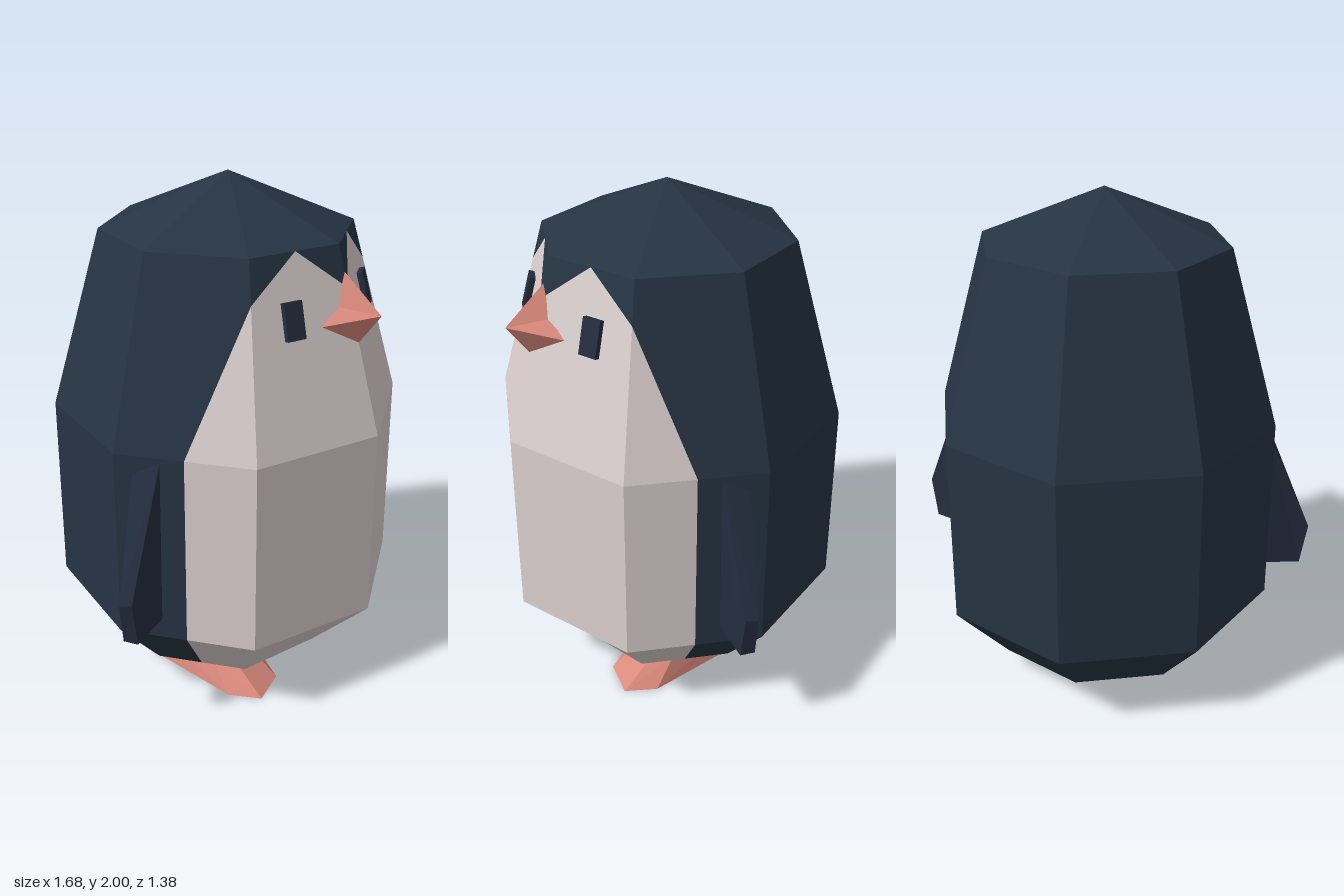
import * as THREE from 'three';

const mat = (name, color, flatShading = true) => {
  const m = new THREE.MeshStandardMaterial({ color });
  m.name = name;
  m.flatShading = flatShading;
  return m;
};
const V = (x, y, z) => new THREE.Vector3(x, y, z);

// Flat polygons as triangle fans, each turned to face away from the centre
function facets(name, polys, center, material) {
  const pos = [];
  for (const p of polys) {
    for (let i = 1; i < p.length - 1; i++) {
      let t = [p[0], p[i], p[i + 1]];
      const n = t[1].clone().sub(t[0]).cross(t[2].clone().sub(t[0]));
      const mid = t[0].clone().add(t[1]).add(t[2]).divideScalar(3).sub(center);
      if (n.dot(mid) < 0) t = [t[0], t[2], t[1]];
      t.forEach(v => pos.push(v.x, v.y, v.z));
    }
  }
  const g = new THREE.BufferGeometry();
  g.setAttribute('position', new THREE.Float32BufferAttribute(pos, 3));
  g.computeVertexNormals();
  const mesh = new THREE.Mesh(g, material);
  mesh.name = name;
  return mesh;
}

// Closed solid between two matching loops
function loft(name, a, b, material) {
  const c = V(0, 0, 0);
  [...a, ...b].forEach(v => c.add(v));
  c.divideScalar(a.length * 2);
  const polys = [a, b];
  a.forEach((v, i) => {
    const j = (i + 1) % a.length;
    polys.push([v, a[j], b[j], b[i]]);
  });
  return facets(name, polys, c, material);
}

export function createModel() {
  const group = new THREE.Group();
  const navy = mat('navy feathers', 0x263443);
  const cream = mat('cream belly', 0xdccfcf);
  const wingMat = mat('wing and eye blue', 0x242d3f);
  const coral = mat('coral', 0xdb8a7c);

  // Body: eight-sided rings, from the bottom up
  const rings = [[0.47, 0.1], [0.69, 0.355], [0.685, 1.11], [0.485, 1.8]];
  const corner = (i, k, s) => {
    const [r, y] = rings[i];
    const a = k * Math.PI / 4;
    const z = i === 0 && k === 0 ? 0.44 : r * Math.cos(a);
    return V(s * r * Math.sin(a), y, z);
  };
  // Fractional k lies on the straight edge between two corners
  const at = (i, k, s) => corner(i, Math.floor(k), s).lerp(corner(i, Math.ceil(k), s), k % 1);
  const dark = [], light = [];
  const apex = V(0, 2, 0), base = V(0, 0.1, 0);
  for (const s of [-1, 1]) {
    const p = (i, k) => at(i, k, s);
    const panel = (i, k0, k1) => [p(i, k0), p(i, k1), p(i + 1, k1), p(i + 1, k0)];
    // lower bands, with the belly ending halfway along the side face
    for (const i of [0, 1]) {
      light.push(panel(i, 0, 1), panel(i, 1, 1.5));
      dark.push(panel(i, 1.5, 2), panel(i, 2, 3), panel(i, 3, 4));
    }
    // upper band with the face mask
    const brow = p(2, 0).lerp(p(3, 0), 0.78);
    const temple = p(2, 1).lerp(p(3, 1), 0.78);
    const peak = p(3, 0.5);
    light.push([p(2, 0), p(2, 1), temple, peak, brow], [p(2, 1), p(2, 1.5), temple]);
    dark.push([brow, peak, p(3, 0)], [peak, temple, p(3, 1)]);
    dark.push([temple, p(2, 1.5), p(2, 2), p(3, 2), p(3, 1)]);
    dark.push(panel(2, 2, 3), panel(2, 3, 4));
    // crown and underside
    for (let k = 0; k < 4; k++) dark.push([p(3, k), p(3, k + 1), apex]);
    const hem = p(0, 1.5), hemMid = V(0, 0.1, hem.z);
    light.push([hemMid, p(0, 0), p(0, 1), hem]);
    dark.push([base, hemMid, hem, p(0, 2), p(0, 3), p(0, 4)]);
  }
  const middle = V(0, 0.9, 0);
  group.add(facets('body', dark, middle, navy), facets('belly', light, middle, cream));

  // Beak: star-shaped base drawn out to a tip
  const rim = [V(0, 1.71, 0.505), V(0.055, 1.59, 0.53), V(0.14, 1.53, 0.497), V(0, 1.44, 0.575),
    V(-0.14, 1.53, 0.497), V(-0.055, 1.59, 0.53)];
  const tip = V(0, 1.57, 0.67);
  group.add(facets('beak', rim.map((v, i) => [v, rim[(i + 1) % 6], tip]), V(0, 1.55, 0.4), coral));

  for (const s of [-1, 1]) {
    const side = s > 0 ? 'left' : 'right';
    const pts = list => list.map(([x, y, z]) => V(s * x, y, z));

    // Eye
    const eye = new THREE.Mesh(new THREE.BoxGeometry(0.075, 0.135, 0.035), wingMat);
    eye.name = side + 'Eye';
    eye.position.set(s * 0.24, 1.575, 0.455);
    eye.rotation.set(-0.26, s * 0.393, 0, 'YXZ');
    group.add(eye);

    // Wing: front and back outlines
    group.add(loft(side + 'Wing',
      pts([[0.62, 1.09, 0.16], [0.82, 0.61, 0.182], [0.795, 0.43, 0.182], [0.63, 0.44, 0.16]]),
      pts([[0.65, 1.06, 0.06], [0.84, 0.605, 0.14], [0.815, 0.435, 0.13], [0.66, 0.455, 0.05]]),
      wingMat));

    // Foot: sole and smaller top outline
    group.add(loft(side + 'Foot',
      pts([[0.19, 0, 0.39], [0.34, 0, 0.42], [0.4, 0, 0.3], [0.36, 0, -0.12],
        [0.27, 0, -0.175], [0.15, 0, -0.165], [0.09, 0, -0.08], [0.07, 0, 0.2]]),
      pts([[0.2, 0.1, 0.26], [0.32, 0.1, 0.28], [0.365, 0.1, 0.2], [0.34, 0.1, -0.11],
        [0.265, 0.1, -0.155], [0.17, 0.1, -0.145], [0.12, 0.1, -0.07], [0.11, 0.1, 0.14]]),
      coral));
  }
  return group;
}
